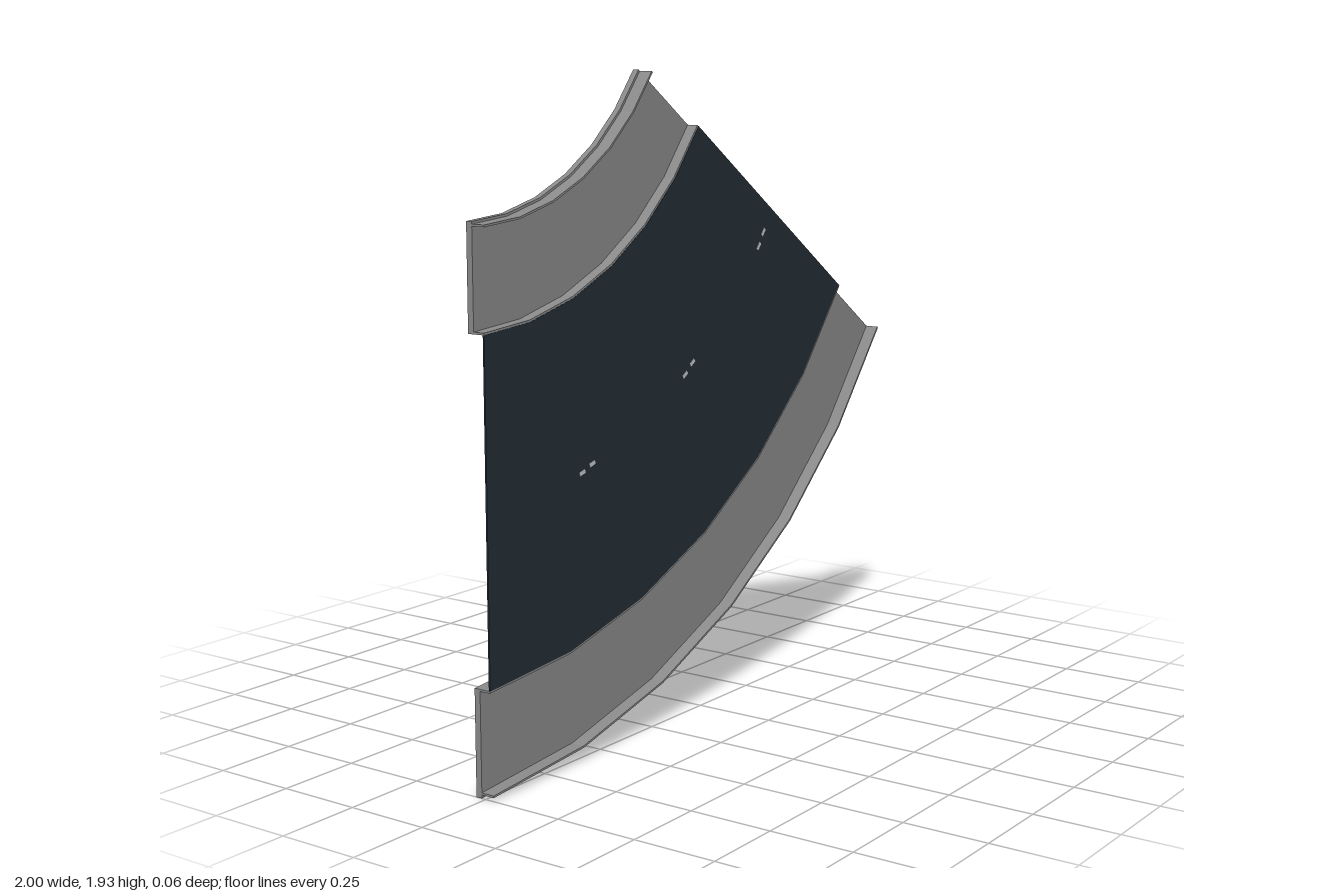
import * as THREE from 'three';

const CX = -1, CY = 2.42;                 // centre of the bend
const SWEEP = THREE.MathUtils.degToRad(55.75);
const SEGMENTS = 6;

const metal = new THREE.MeshStandardMaterial({ color: 0x8a8a8a });
metal.name = 'greyMetal';
const rubber = new THREE.MeshStandardMaterial({ color: 0x232e37 });
rubber.name = 'darkBelt';
const paint = new THREE.MeshStandardMaterial({ color: 0xc4c8ca });
paint.name = 'paleMark';

const at = (r, a) => new THREE.Vector2(CX + r * Math.sin(a), CY - r * Math.cos(a));

// Faceted ring sector between two radii, from z0 (back) to z1 (front)
function sector(name, r0, r1, z0, z1, material) {
  const points = [];
  for (let i = 0; i <= SEGMENTS; i++) points.push(at(r1, (SWEEP * i) / SEGMENTS));
  for (let i = SEGMENTS; i >= 0; i--) points.push(at(r0, (SWEEP * i) / SEGMENTS));
  const geometry = new THREE.ExtrudeGeometry(new THREE.Shape(points), { depth: z1 - z0, bevelEnabled: false });
  geometry.translate(0, 0, z0);
  const mesh = new THREE.Mesh(geometry, material);
  mesh.name = name;
  return mesh;
}

export function createModel() {
  const group = new THREE.Group();
  group.name = 'curvedConveyor';

  // Raised belt surface
  group.add(sector('belt', 1.16, 2.115, 0.018, 0.023, rubber));

  // Side rails: back plate, outward lip and wall holding the belt
  const rails = [
    { name: 'inner', plate: [0.867, 1.16], lip: [0.874, 0.88], wall: [1.154, 1.16] },
    { name: 'outer', plate: [2.115, 2.42], lip: [2.404, 2.41], wall: [2.115, 2.121] },
  ];
  for (const { name, plate, lip, wall } of rails) {
    const rail = new THREE.Group();
    rail.name = name + 'Rail';
    rail.add(
      sector(name + 'Plate', ...plate, -0.032, -0.013, metal),
      sector(name + 'Lip', ...lip, -0.013, 0.029, metal),
      sector(name + 'Wall', ...wall, -0.013, 0.022, metal),
    );
    group.add(rail);
  }

  // Small marks along the belt's centre line, seen on both faces
  for (const degrees of [15, 33.7, 52]) {
    const a = THREE.MathUtils.degToRad(degrees);
    const p = at(1.635, a);
    const mark = new THREE.Group();
    mark.name = 'beltMark';
    mark.position.set(p.x, p.y, 0.0205);
    mark.rotation.z = a;
    for (const side of [-1, 1]) {
      const dash = new THREE.Mesh(new THREE.BoxGeometry(0.026, 0.012, 0.007), paint);
      dash.name = 'markDash';
      dash.position.set(side * 0.024, side * 0.003, 0);
      mark.add(dash);
    }
    group.add(mark);
  }
  return group;
}
